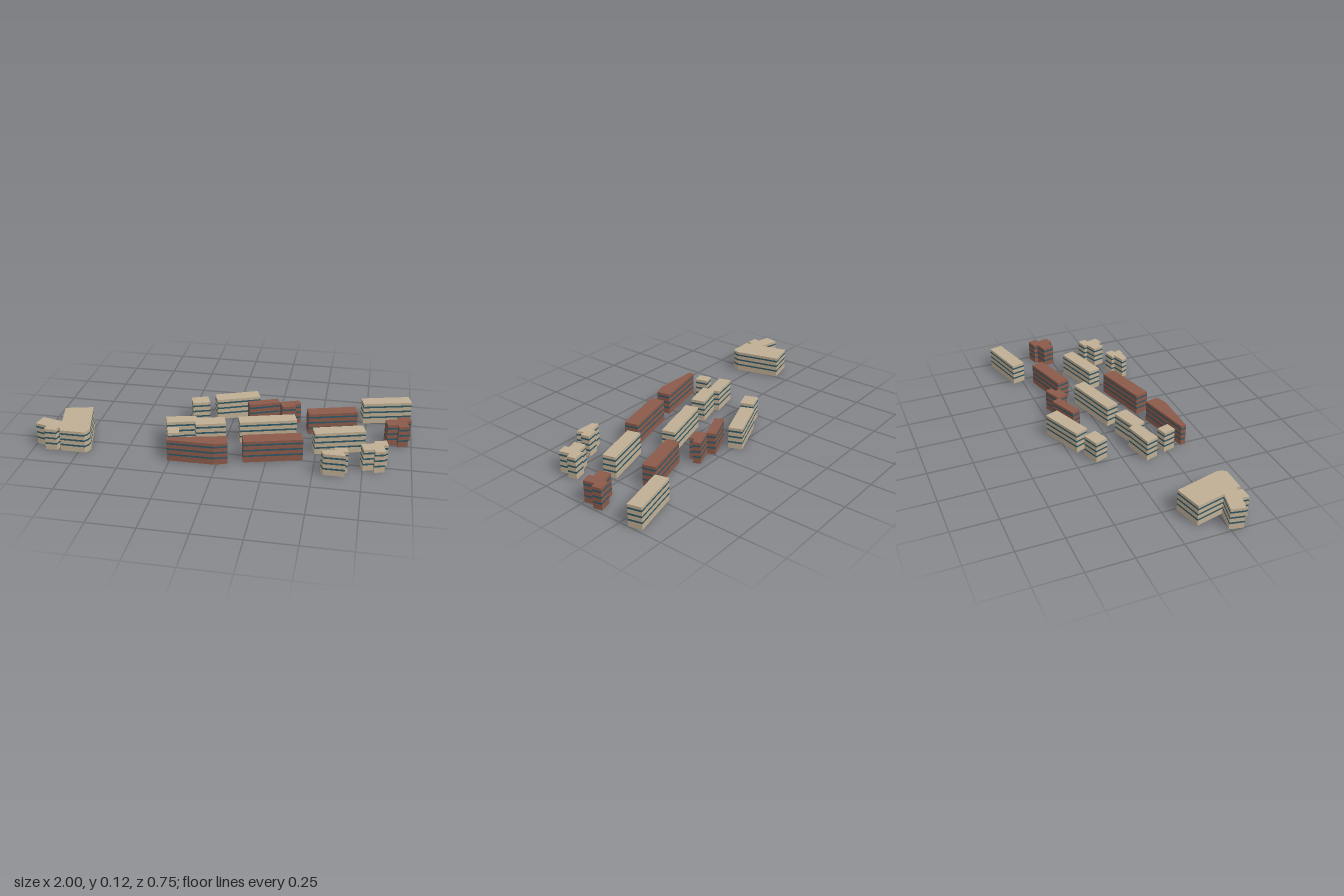
import * as THREE from 'three';
import { mergeGeometries } from 'three/addons/utils/BufferGeometryUtils.js';

const HEIGHT = 0.122;
const EDGE = 0.374; // front limit of the site
const BANDS = [[0.032, 0.042], [0.064, 0.074], [0.096, 0.106]];
const SOLID = [[0, 0.032], [0.042, 0.064], [0.074, 0.096], [0.106, HEIGHT]];

const material = (color) => new THREE.MeshStandardMaterial({ color, flatShading: true });

// Vertical walls around an outline, one ring per [bottom, top] layer
function walls(outline, layers) {
  const p = [];
  for (const [lo, hi] of layers) {
    outline.forEach(([ax, az], i) => {
      const [bx, bz] = outline[(i + 1) % outline.length];
      p.push(ax, lo, az, ax, hi, az, bx, hi, bz, ax, lo, az, bx, hi, bz, bx, lo, bz);
    });
  }
  const g = new THREE.BufferGeometry();
  g.setAttribute('position', new THREE.Float32BufferAttribute(p, 3));
  g.computeVertexNormals();
  return g;
}

// Flat roof (sign 1) or floor (sign -1)
function cap(outline, y, sign) {
  const shape = new THREE.Shape(outline.map(([x, z]) => new THREE.Vector2(x, -sign * z)));
  const g = new THREE.ShapeGeometry(shape).toNonIndexed();
  g.deleteAttribute('uv');
  return g.rotateX(-sign * Math.PI / 2).translate(0, y, 0);
}

// Rectangle from its two back corners and a depth towards the front
function rect(x1, z1, x2, z2, depth) {
  const len = Math.hypot(x2 - x1, z2 - z1);
  const nx = -(z2 - z1) / len * depth, nz = (x2 - x1) / len * depth;
  return [[x1, z1], [x2, z2], [x2 + nx, z2 + nz], [x1 + nx, z1 + nz]];
}

// Stepped point block, repeated across the site and cut at the front limit
const STEPPED = [[0.853, -0.061], [0.922, -0.083], [0.917, -0.104], [0.981, -0.12], [0.992, -0.072],
  [0.965, -0.065], [0.981, -0.003], [0.928, 0.013], [0.922, -0.013], [0.869, 0.003]];
const stepped = (dx, dz) => STEPPED.map(([x, z]) => [x + dx, Math.min(z + dz, EDGE)]);

export function createModel() {
  const model = new THREE.Group();
  model.name = 'buildingBlocks';
  const stone = material(0xbfae93);
  const brick = material(0x8b5a4a);
  const glass = material(0x2f5866);

  function building(name, mat, outline) {
    const group = new THREE.Group();
    group.name = name;
    const shell = new THREE.Mesh(mergeGeometries(
      [walls(outline, SOLID), cap(outline, HEIGHT, 1), cap(outline, 0, -1)]), mat);
    shell.name = 'shell';
    const windows = new THREE.Mesh(walls(outline, BANDS), glass);
    windows.name = 'windowBands';
    group.add(shell, windows);
    model.add(group);
  }

  // Large L-shaped building with a rounded corner
  building('cornerBuilding', stone, [[-0.906, 0.115], [-0.757, 0.078], [-0.693, 0.329], [-0.698, 0.352],
    [-0.712, EDGE], [-0.846, EDGE], [-0.848, 0.352], [-0.863, 0.346], [-0.868, EDGE], [-0.933, EDGE],
    [-0.928, 0.338], [-1, 0.318], [-0.985, 0.243], [-0.869, 0.27]]);

  // Straight stone blocks
  [[-0.243, -0.142, -0.152, -0.174, 0.075],
    [-0.118, -0.206, 0.115, -0.297, 0.077],
    [0.714, -0.307, 0.979, -0.374, 0.076],
    [0.061, 0.045, 0.361, -0.04, 0.074],
    [-0.291, 0.233, -0.233, 0.217, 0.071],
    [0.473, 0.099, 0.735, 0.024, 0.073],
  ].forEach((r, i) => building(`stoneBlock${i + 1}`, stone, rect(...r)));

  // Straight brick blocks
  [[0.083, -0.152, 0.243, -0.217, 0.051],
    [0.42, -0.12, 0.682, -0.193, 0.073],
    [0.115, 0.249, 0.418, 0.168, 0.077],
  ].forEach((r, i) => building(`brickBlock${i + 1}`, brick, rect(...r)));

  // Blocks with stepped or cut plans
  building('brickStepBlock', brick, [[0.262, -0.175], [0.365, -0.215], [0.382, -0.178],
    [0.345, -0.16], [0.358, -0.137], [0.285, -0.115]]);
  building('staggeredBlock', stone, [[-0.329, 0.115], [-0.168, 0.078], [-0.158, 0.104], [-0.013, 0.061],
    [0.008, 0.136], [-0.147, 0.179], [-0.163, 0.142], [-0.307, 0.184]]);
  building('cutBrickBlock', brick, [[-0.265, 0.345], [0.04, 0.275], [0.056, 0.35], [-0.012, EDGE], [-0.262, EDGE]]);

  // Point blocks
  building('brickPointBlock', brick, stepped(0, 0));
  building('stonePointBlock', stone, stepped(-0.118, 0.294));
  building('cutPointBlock', stone, stepped(-0.316, 0.401));

  return model;
}
